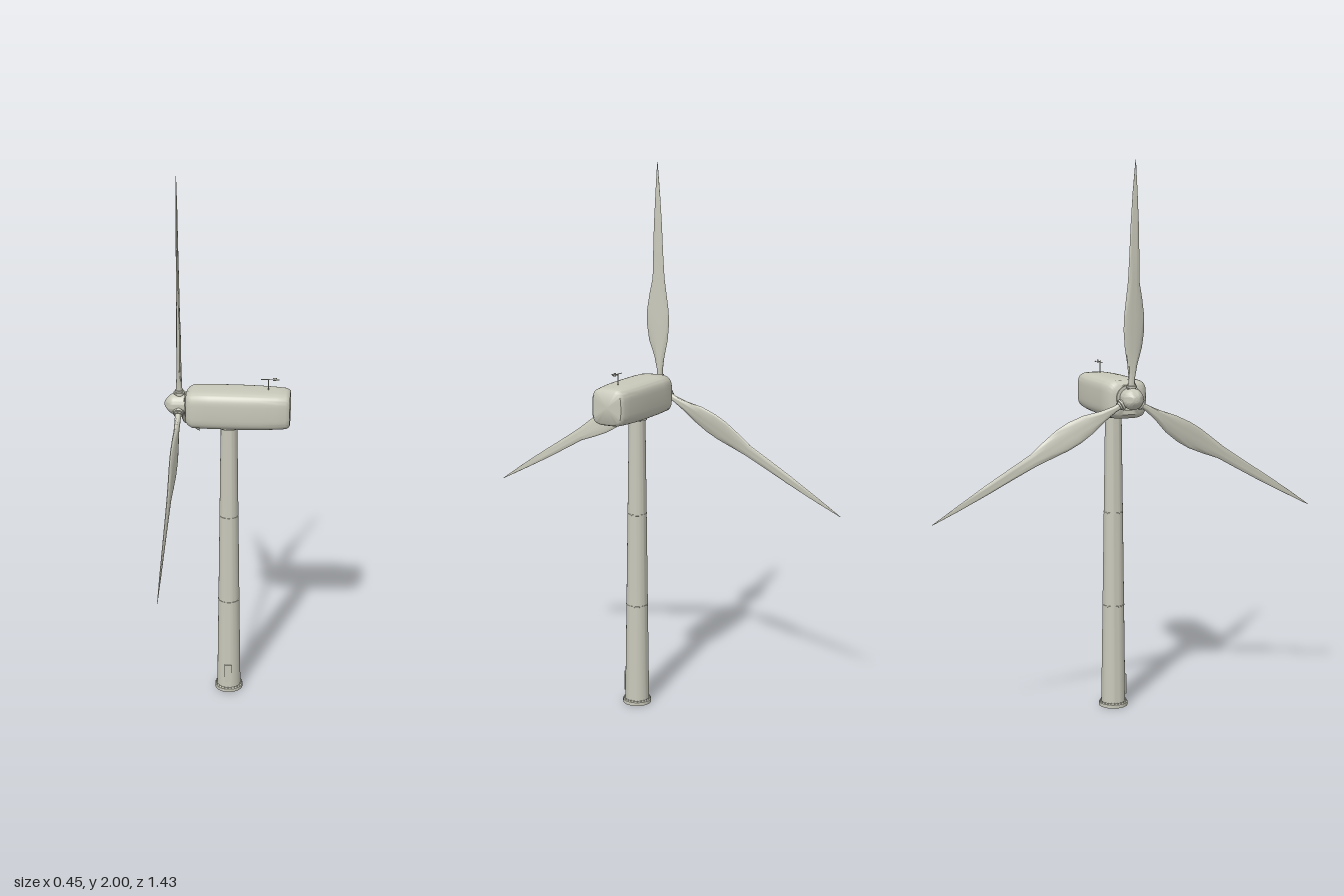
import * as THREE from 'three';
import { toCreasedNormals } from 'three/addons/utils/BufferGeometryUtils.js';

const paint = new THREE.MeshStandardMaterial({ color: 0xc8c8ba });
paint.name = 'warm grey paint';

const AXIS_X = 0.007, AXIS_Z = 0.007, HUB_Y = 1.173, HUB_X = -0.172;

function add(parent, name, geometry, x = 0, y = 0, z = 0) {
  const mesh = new THREE.Mesh(geometry, paint);
  mesh.name = name;
  mesh.position.set(x, y, z);
  parent.add(mesh);
  return mesh;
}

// Lathe from [radius, height] pairs, listed from bottom to top
function turned(points, sides = 40) {
  const profile = points.map(([r, h]) => new THREE.Vector2(r, h));
  return toCreasedNormals(new THREE.LatheGeometry(profile, sides), 0.6);
}

// Skin through closed loops of equal point count, capped at both ends
function loft(loops) {
  const n = loops[0].length, positions = [], index = [];
  for (const loop of loops) for (const p of loop) positions.push(p.x, p.y, p.z);
  const centres = [loops[0], loops[loops.length - 1]].map((loop) => {
    const c = loop.reduce((sum, p) => sum.add(p), new THREE.Vector3()).divideScalar(n);
    positions.push(c.x, c.y, c.z);
    return positions.length / 3 - 1;
  });
  const last = (loops.length - 1) * n;
  for (let j = 0; j < n; j++) {
    const k = (j + 1) % n;
    for (let i = 0; i < last; i += n) {
      index.push(i + j, i + k, i + n + k, i + j, i + n + k, i + n + j);
    }
    index.push(centres[0], k, j, centres[1], last + j, last + k);
  }
  const geometry = new THREE.BufferGeometry();
  geometry.setAttribute('position', new THREE.Float32BufferAttribute(positions, 3));
  geometry.setIndex(index);
  return toCreasedNormals(geometry, 0.7);
}

// Blade sections: distance, trailing z, leading z, half thickness, twist in degrees
function bladeGeometry() {
  const sections = [
    [0.035, -0.011, 0.011, 0.011, 0], [0.07, -0.011, 0.011, 0.011, 0],
    [0.12, -0.018, 0.021, 0.009, 8], [0.18, -0.031, 0.04, 0.008, 11],
    [0.24, -0.037, 0.048, 0.008, 11], [0.29, -0.036, 0.047, 0.007, 11],
    [0.35, -0.029, 0.037, 0.006, 10], [0.41, -0.022, 0.024, 0.006, 8],
    [0.5, -0.018, 0.021, 0.005, 6], [0.6, -0.015, 0.017, 0.004, 4],
    [0.72, -0.009, 0.009, 0.003, 2], [0.827, -0.0008, 0.0008, 0.0008, 0],
  ];
  const up = new THREE.Vector3(0, 1, 0);
  return loft(sections.map(([r, z0, z1, t, twist]) => {
    const loop = [];
    for (let i = 0; i < 20; i++) {
      const a = (i / 20) * Math.PI * 2;
      const z = (z0 + z1) / 2 + ((z1 - z0) / 2) * Math.cos(a);
      loop.push(new THREE.Vector3(t * Math.sin(a), r, z)
        .applyAxisAngle(up, THREE.MathUtils.degToRad(twist)));
    }
    return loop;
  }));
}

// Nacelle sections: x, half height, half width, with rounded-square outlines
function nacelleGeometry() {
  const sections = [
    [-0.145, 0.053, 0.055], [-0.138, 0.061, 0.064], [-0.122, 0.069, 0.075],
    [-0.06, 0.071, 0.076], [0.05, 0.071, 0.076], [0.12, 0.07, 0.074],
    [0.18, 0.068, 0.069], [0.212, 0.066, 0.065], [0.222, 0.062, 0.061],
    [0.227, 0.056, 0.056],
  ];
  const round = (v) => Math.sign(v) * Math.pow(Math.abs(v), 0.5);
  return loft(sections.map(([x, h, w]) => {
    const loop = [];
    for (let i = 0; i < 48; i++) {
      const a = (i / 48) * Math.PI * 2;
      loop.push(new THREE.Vector3(x, h * round(Math.cos(a)), w * round(Math.sin(a))));
    }
    return loop;
  }));
}

function createTower() {
  const tower = new THREE.Group();
  tower.name = 'tower';
  tower.position.set(AXIS_X, 0, AXIS_Z);
  add(tower, 'towerShaft', turned([[0, 0.01], [0.045, 0.01], [0.03, 1.11], [0, 1.11]]));
  add(tower, 'baseFlange', turned([[0, 0], [0.053, 0], [0.053, 0.013], [0.044, 0.016]]));
  add(tower, 'yawRing', turned([[0.029, 1.085], [0.036, 1.087], [0.036, 1.105], [0.029, 1.107]]));
  // Joints between the tower segments
  for (const y of [0.385, 0.735]) {
    const r = 0.045 - 0.015 * (y - 0.01) / 1.1;
    add(tower, 'segmentJoint', turned([[r - 0.001, y - 0.003], [r + 0.001, y - 0.002],
      [r + 0.001, y + 0.002], [r - 0.001, y + 0.003]]));
  }
  // Anchor bolts
  const bolt = new THREE.CylinderGeometry(0.0018, 0.0018, 0.005, 6);
  for (let i = 0; i < 24; i++) {
    const a = (i / 24) * Math.PI * 2;
    add(tower, 'anchorBolt', bolt, 0.049 * Math.sin(a), 0.0165, 0.049 * Math.cos(a));
  }
  add(tower, 'door', new THREE.BoxGeometry(0.028, 0.075, 0.012), 0, 0.078, 0.041);
  return tower;
}

function createRotor() {
  const rotor = new THREE.Group();
  rotor.name = 'rotor';
  rotor.position.set(HUB_X, HUB_Y, AXIS_Z);
  // Nose cone and shaft, turned about the x axis
  const turnToX = (mesh) => { mesh.rotation.z = Math.PI / 2; };
  turnToX(add(rotor, 'spinner', turned([[0, -0.02], [0.036, -0.02], [0.038, 0.02],
    [0.036, 0.027], [0.03, 0.036], [0.02, 0.045], [0.01, 0.052], [0, 0.055]])));
  turnToX(add(rotor, 'mainShaft', turned([[0.028, -0.04], [0.028, -0.015]])));
  turnToX(add(rotor, 'bearingRing', turned([[0, -0.032], [0.046, -0.032], [0.046, -0.022], [0, -0.022]])));

  const blade = bladeGeometry();
  const collar = turned([[0.016, 0.02], [0.016, 0.038], [0.02, 0.039], [0.02, 0.046],
    [0.015, 0.047], [0.015, 0.053], [0, 0.053]], 24);
  for (let i = 0; i < 3; i++) {
    const arm = new THREE.Group();
    arm.name = 'bladeAssembly';
    arm.rotation.x = THREE.MathUtils.degToRad(1 + 120 * i);
    add(arm, 'bladeCollar', collar);
    add(arm, 'blade', blade);
    rotor.add(arm);
  }
  return rotor;
}

function createWindSensor() {
  const sensor = new THREE.Group();
  sensor.name = 'windSensor';
  sensor.position.set(0.148, 1.232, AXIS_Z);
  add(sensor, 'sensorPost', new THREE.CylinderGeometry(0.0016, 0.0016, 0.044, 8), 0, 0.022, 0);
  add(sensor, 'sensorBoom', new THREE.BoxGeometry(0.066, 0.0022, 0.0022), 0.006, 0.042, 0);
  add(sensor, 'vaneFin', new THREE.BoxGeometry(0.014, 0.012, 0.0015), 0.022, 0.043, 0);
  add(sensor, 'crossArm', new THREE.BoxGeometry(0.002, 0.002, 0.02), 0.022, 0.043, 0);
  const cup = new THREE.SphereGeometry(0.0025, 8, 6);
  for (const side of [-1, 1]) add(sensor, 'sensorCup', cup, 0.022, 0.043, side * 0.01);
  return sensor;
}

export function createModel() {
  const model = new THREE.Group();
  model.name = 'windTurbine';
  model.add(createTower(), createRotor(), createWindSensor());
  add(model, 'nacelle', nacelleGeometry(), 0, 1.166, AXIS_Z);
  return model;
}
